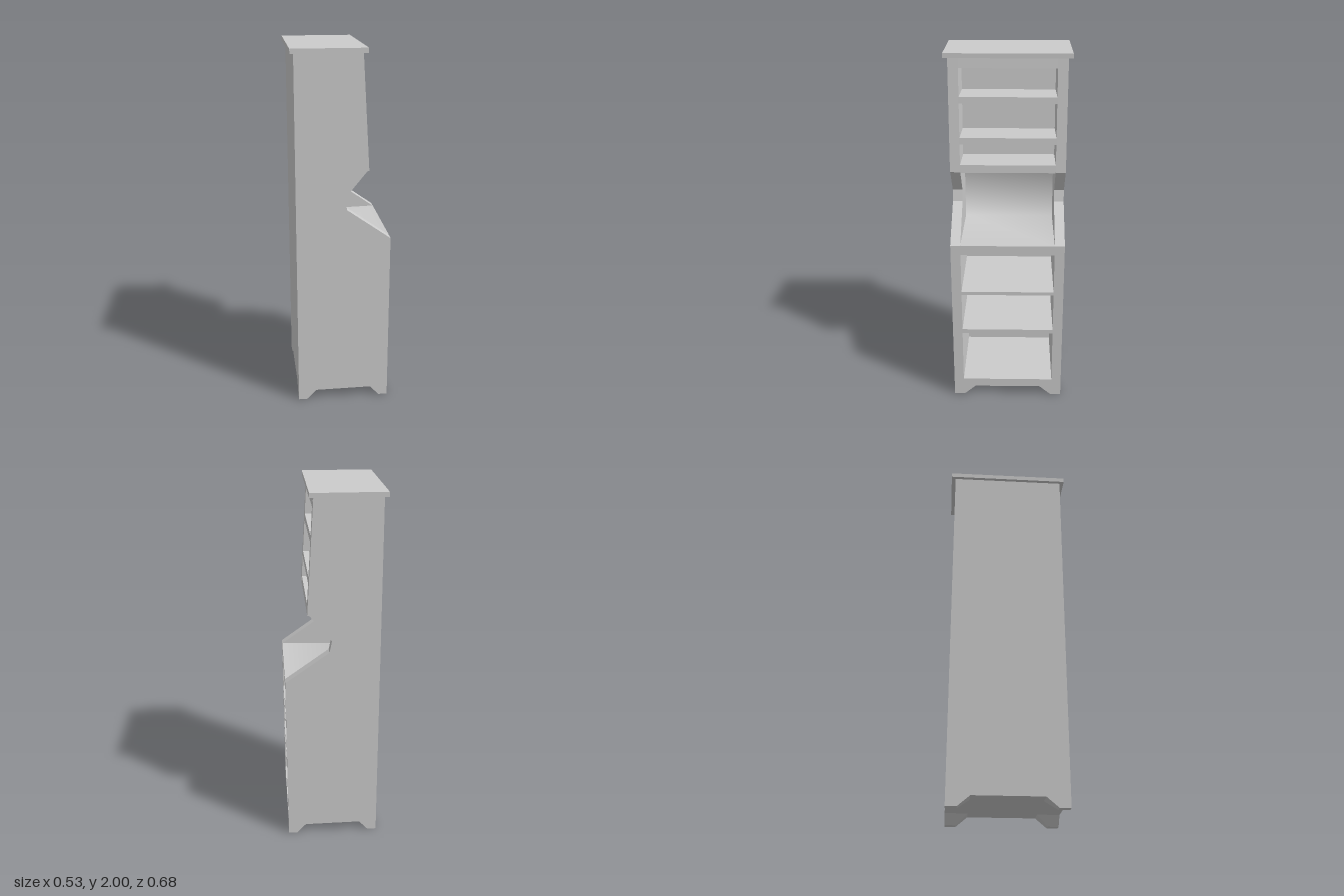
import * as THREE from 'three';

const material = new THREE.MeshStandardMaterial({ color: 0xcccccc });
const INNER = 0.26, OUTER = 0.315, BACK = -0.25, NICHE = -0.21;
const SLOPE = 0.057;                                // lean of the upper front
const frontX = (y) => 0.141 - SLOPE * (y - 1.36);

function add(group, name, geometry, x = 0, y = 0, z = 0) {
  const mesh = new THREE.Mesh(geometry, material);
  mesh.name = name;
  mesh.position.set(x, y, z);
  group.add(mesh);
  return mesh;
}

// Extrude an x-y outline along z
function slab(points, z0, z1) {
  const shape = new THREE.Shape(points.map(([x, y]) => new THREE.Vector2(x, y)));
  const geometry = new THREE.ExtrudeGeometry(shape, { depth: z1 - z0, bevelEnabled: false });
  return geometry.translate(0, 0, z0);
}

// Corner foot: vertical outside, tapering on the two inner sides
function footGeometry(xOut, xTop, xBottom, side) {
  const geometry = new THREE.BoxGeometry(1, 1, 1);
  const p = geometry.attributes.position;
  const sx = Math.sign(xOut);
  for (let i = 0; i < p.count; i++) {
    const low = p.getY(i) < 0;
    const x = p.getX(i) * sx > 0 ? xOut : low ? xBottom : xTop;
    const z = p.getZ(i) * side > 0 ? OUTER : low ? 0.255 : 0.19;
    p.setXYZ(i, x, low ? 0 : 0.055, z * side);
  }
  geometry.computeVertexNormals();
  return geometry;
}

// Softly shaded lining of the niche: ceiling, back wall, counter
function liningGeometry(profile, w) {
  const positions = [], index = [];
  profile.forEach(([x, y], i) => {
    positions.push(x, y, -w, x, y, w);
    const a = i * 2;
    if (i < profile.length - 1) index.push(a, a + 1, a + 2, a + 1, a + 3, a + 2);
  });
  const geometry = new THREE.BufferGeometry();
  geometry.setAttribute('position', new THREE.Float32BufferAttribute(positions, 3));
  geometry.setIndex(index);
  geometry.computeVertexNormals();
  return geometry;
}

export function createModel() {
  const group = new THREE.Group();
  group.name = 'cabinet';

  // Side panels with the stepped outline
  const sideOutline = [
    [BACK, 0.055], [0.265, 0.055], [0.265, 0.975], [0.025, 1.145], [0.012, 1.21],
    [0.13, 1.355], [0.142, 1.36], [0.105, 1.975], [BACK, 1.975],
  ];
  add(group, 'leftPanel', slab(sideOutline, INNER, OUTER));
  add(group, 'rightPanel', slab(sideOutline, -OUTER, -INNER));

  // Core between the panels: shelves, niche and back as one comb-shaped section
  const core = [[BACK, 0.055], [0.265, 0.055]];
  for (const [y0, y1] of [[0.105, 0.42], [0.445, 0.67], [0.69, 0.92]]) {
    core.push([0.265, y0], [-0.2, y0], [-0.2, y1], [0.265, y1]);
  }
  core.push([0.265, 0.975], [NICHE, 0.962], [NICHE, 1.357], [0.141, 1.357]);
  const depth = 0.24, drop = depth * SLOPE;
  for (const [y0, y1] of [[1.4, 1.515], [1.55, 1.735], [1.77, 1.92]]) {
    core.push(
      [frontX(y0), y0], [frontX(y0) - depth, y0 - drop],
      [frontX(y1) - depth, y1 - drop], [frontX(y1), y1],
    );
  }
  core.push([0.105, 1.975], [BACK, 1.975]);
  add(group, 'shelvesAndBack', slab(core, -INNER, INNER));

  // Niche lining
  const e = 0.0015;
  add(group, 'nicheLining', liningGeometry([
    [0.14, 1.357 - e], [NICHE + e, 1.357 - e], [NICHE + e, 0.962 + e], [0.265, 0.975 + e],
  ], INNER));

  // Overhanging top
  add(group, 'topBoard', new THREE.BoxGeometry(0.397, 0.025, 0.676), -0.0715, 1.9875, 0);

  // Feet
  for (const side of [-1, 1]) {
    add(group, 'backFoot', footGeometry(BACK, -0.15, -0.2, side));
    add(group, 'frontFoot', footGeometry(0.265, 0.165, 0.215, side));
  }
  return group;
}
